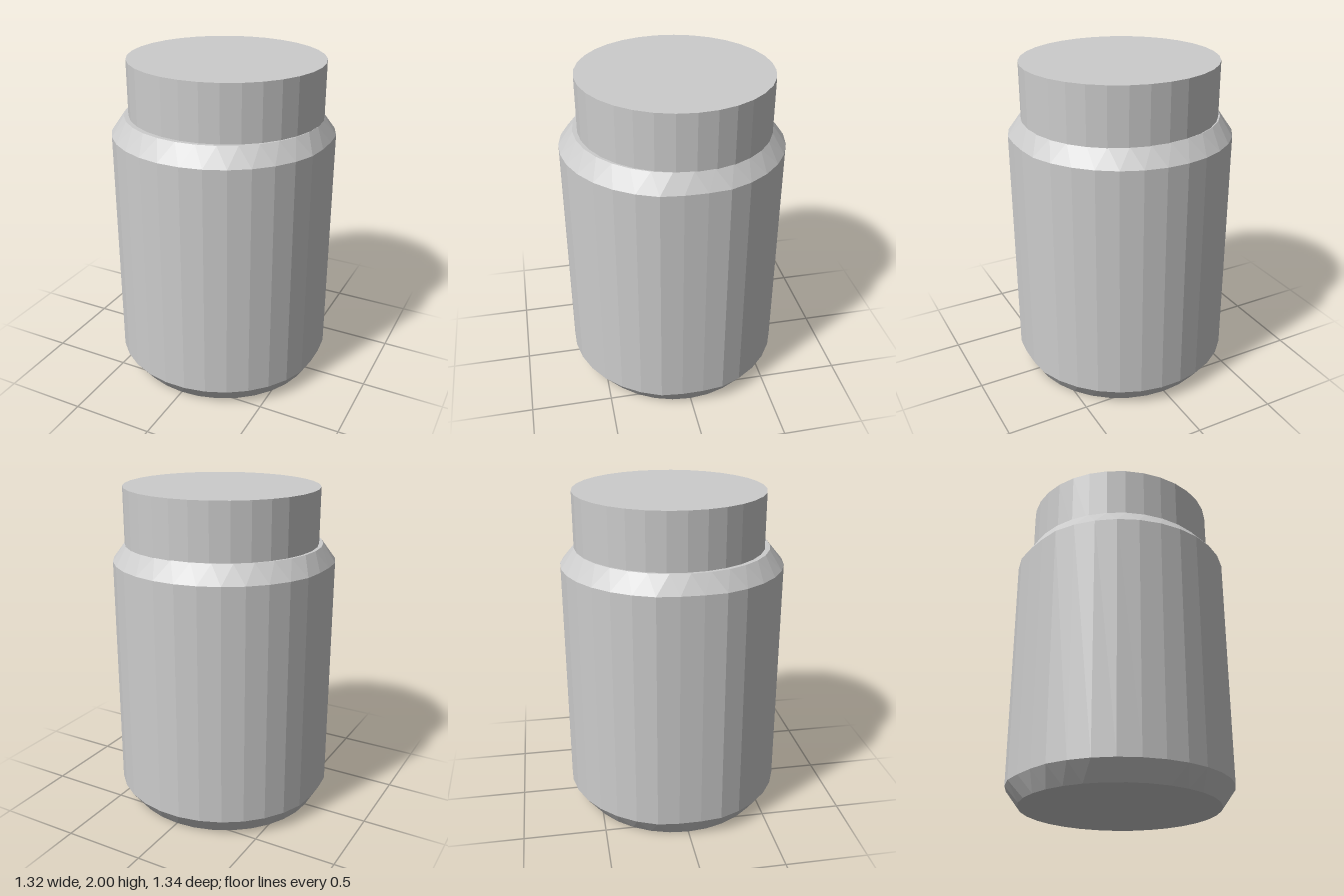
import * as THREE from 'three';

const SIDES = 32;

// Closed stack of elliptical rings, lowest first; twist is in fractions of one side
function ringSolid(rings, material, name) {
  const point = (r, j) => {
    const t = ((j + r.twist) / SIDES) * Math.PI * 2;
    const limit = r.limit ?? Infinity; // flattens the far left and right
    const x = THREE.MathUtils.clamp(r.rx * Math.sin(t), -limit, limit);
    return [x, r.y, r.rz * Math.cos(t)];
  };
  const pos = [];
  const low = rings[0], high = rings[rings.length - 1];
  for (let j = 0; j < SIDES; j++) {
    for (let i = 0; i < rings.length - 1; i++) {
      const a = rings[i], b = rings[i + 1];
      pos.push(...point(a, j), ...point(a, j + 1), ...point(b, j));
      pos.push(...point(a, j + 1), ...point(b, j + 1), ...point(b, j));
    }
    // end discs
    pos.push(0, low.y, 0, ...point(low, j + 1), ...point(low, j));
    pos.push(0, high.y, 0, ...point(high, j), ...point(high, j + 1));
  }
  const geo = new THREE.BufferGeometry();
  geo.setAttribute('position', new THREE.Float32BufferAttribute(pos, 3));
  geo.computeVertexNormals();
  const mesh = new THREE.Mesh(geo, material);
  mesh.name = name;
  return mesh;
}

export function createModel() {
  const group = new THREE.Group();
  group.name = 'jar';
  const grey = new THREE.MeshStandardMaterial({ color: 0xcccccc, flatShading: true });
  grey.name = 'light grey';

  // Body with faceted chamfers at the base and shoulder
  group.add(ringSolid([
    { y: 0, rx: 0.6, rz: 0.59, twist: 0 },
    { y: 0.11, rx: 0.675, rz: 0.675, twist: 0.5, limit: 0.66 },
    { y: 1.56, rx: 0.675, rz: 0.675, twist: 0.5, limit: 0.66 },
    { y: 1.665, rx: 0.6, rz: 0.588, twist: 1 },
  ], grey, 'body'));

  // Lid, set slightly off centre
  const lid = ringSolid([
    { y: 1.62, rx: 0.59, rz: 0.575, twist: 0 },
    { y: 2, rx: 0.59, rz: 0.575, twist: 0 },
  ], grey, 'lid');
  lid.position.set(0.01, 0, -0.014);
  group.add(lid);

  return group;
}
